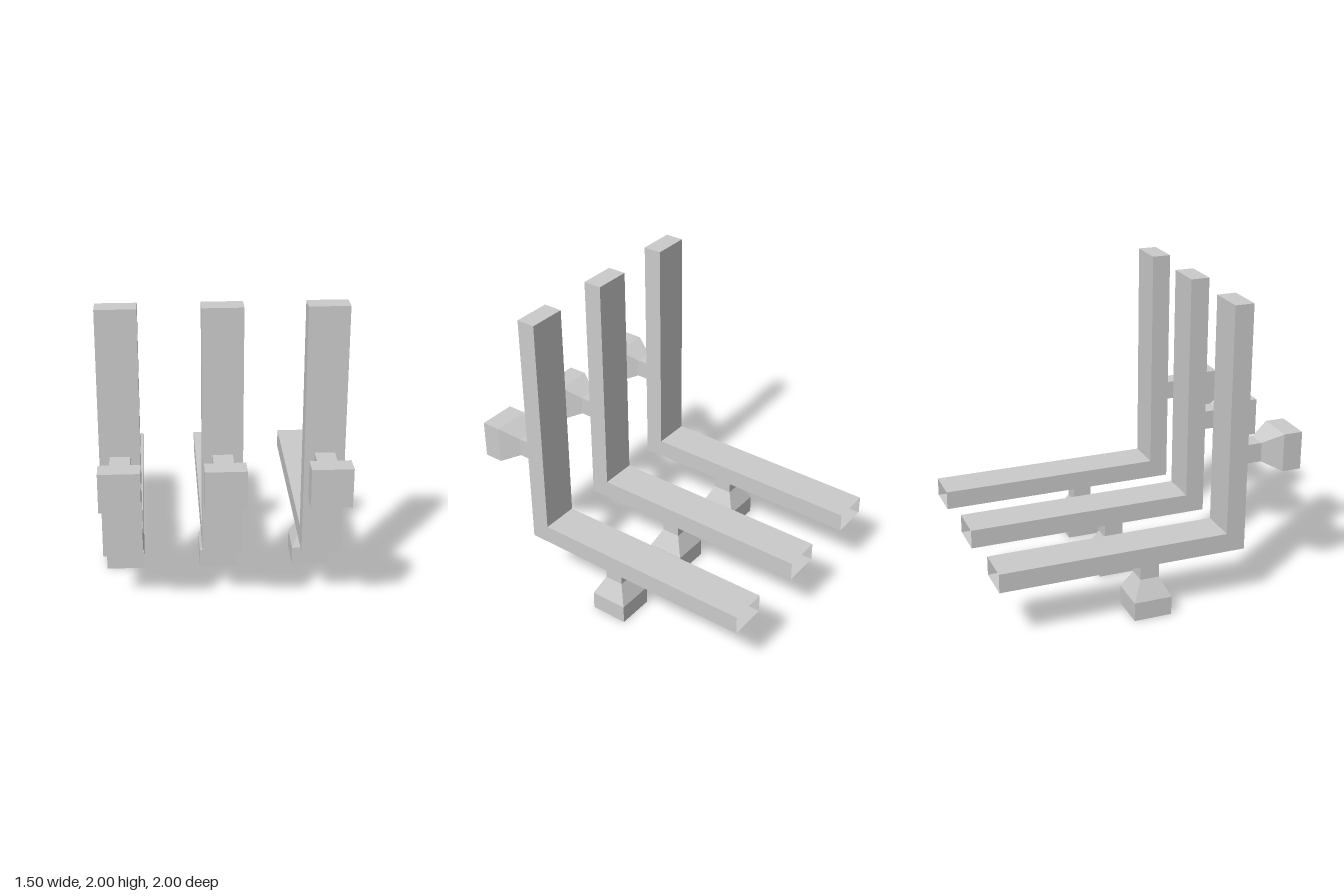
import * as THREE from 'three';

const material = new THREE.MeshStandardMaterial({ color: 0xcccccc, flatShading: true, side: THREE.DoubleSide });

// Skins four-cornered rings (counter-clockwise along the travel direction) with flat quads.
function loft(rings, capStart, capEnd) {
  const positions = [];
  const quad = (a, b, c, d) => positions.push(...a, ...b, ...c, ...a, ...c, ...d);
  for (let i = 0; i < rings.length - 1; i++) {
    for (let j = 0; j < 4; j++) {
      const k = (j + 1) % 4;
      quad(rings[i][j], rings[i][k], rings[i + 1][k], rings[i + 1][j]);
    }
  }
  if (capStart) quad(...[...rings[0]].reverse());
  if (capEnd) quad(...rings[rings.length - 1]);
  const geometry = new THREE.BufferGeometry();
  geometry.setAttribute('position', new THREE.Float32BufferAttribute(positions, 3));
  geometry.computeVertexNormals();
  return geometry;
}

// Mitred L-shaped bar: open at the back, closed at the top. Each row: outer y, z, inner y, z.
function barGeometry() {
  const w = 0.125;
  const rings = [
    [0.375, -1, 0.5, -1],
    [0.375, 0.625, 0.5, 0.5],
    [2, 0.625, 2, 0.5],
  ].map(([oy, oz, iy, iz]) => [[w, oy, oz], [w, iy, iz], [-w, iy, iz], [-w, oy, oz]]);
  return loft(rings, false, true);
}

// Square block tapering to a narrow neck. Each row: height, half width.
function footGeometry() {
  const rings = [
    [0, 0.125],
    [0.125, 0.125],
    [0.25, 0.0625],
    [0.375, 0.0625],
  ].map(([y, h]) => [[h, y, h], [h, y, -h], [-h, y, -h], [-h, y, h]]);
  return loft(rings, true, false);
}

export function createModel() {
  const model = new THREE.Group();
  model.name = 'bracketSet';
  const bar = barGeometry();
  const foot = footGeometry();

  const add = (parent, geometry, name) => {
    const mesh = new THREE.Mesh(geometry, material);
    mesh.name = name;
    parent.add(mesh);
    return mesh;
  };

  // Three identical brackets side by side
  [['right', -0.625], ['middle', 0], ['left', 0.625]].forEach(([side, x]) => {
    const bracket = new THREE.Group();
    bracket.name = `${side}Bracket`;
    bracket.position.x = x;
    add(bracket, bar, 'bar');
    add(bracket, foot, 'foot');
    // The same block turned forward on the upright
    const knob = add(bracket, foot, 'frontKnob');
    knob.rotation.x = -Math.PI / 2;
    knob.position.set(0, 1, 1);
    model.add(bracket);
  });
  return model;
}
